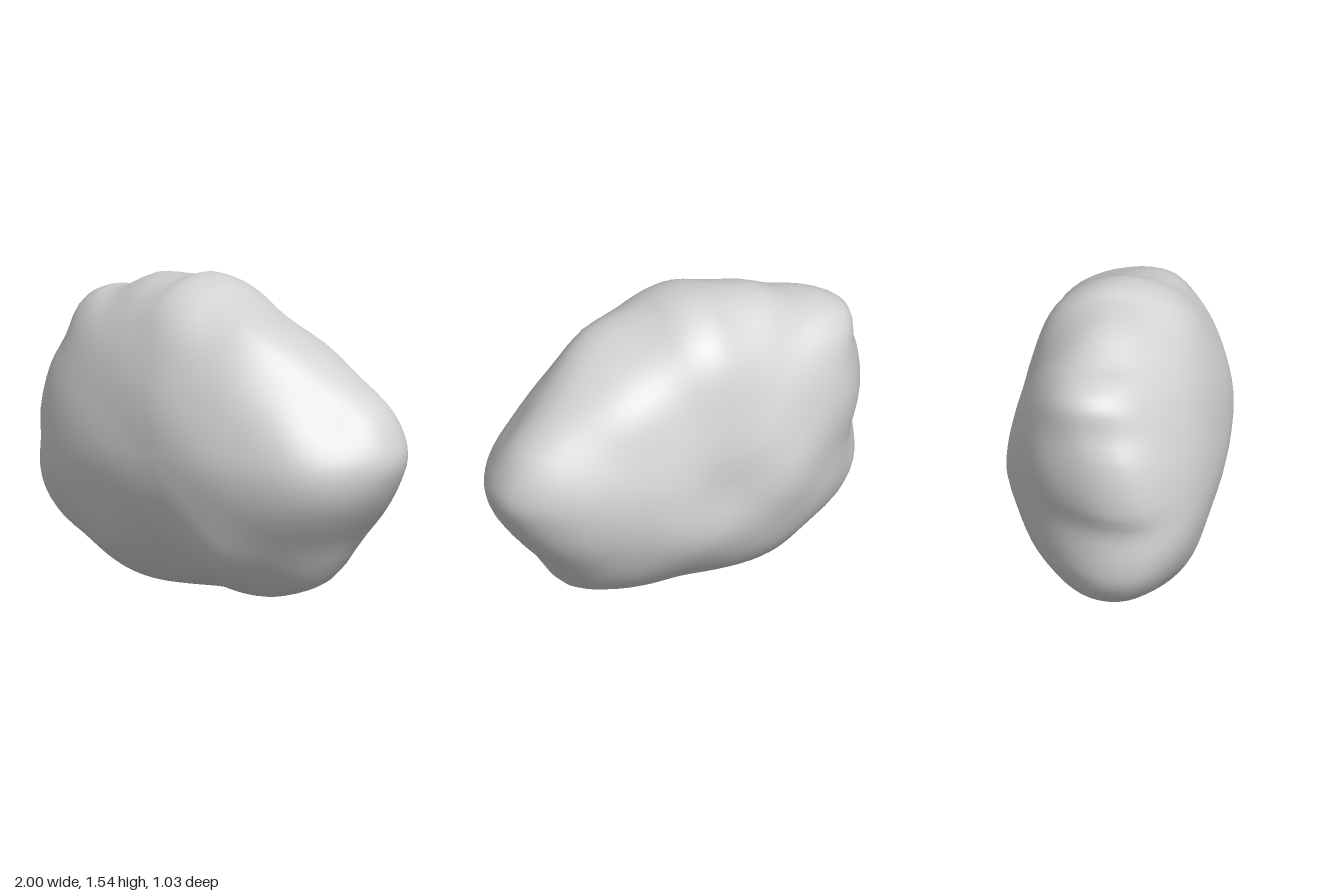
import * as THREE from 'three';
import { mergeVertices } from 'three/addons/utils/BufferGeometryUtils.js';

// Widest contour of the boulder, clockwise from the right tip as seen from the front: x, y, z
const OUTLINE = [
  [1, 0.77, -0.12], [0.96, 0.64, -0.1], [0.87, 0.5, -0.09], [0.75, 0.34, -0.07],
  [0.6, 0.13, -0.03], [0.4, 0.045, 0], [0.24, 0.03, 0], [0.13, 0.045, 0], [-0.15, 0.012, 0],
  [-0.38, 0.003, 0], [-0.5, 0.03, 0.01], [-0.67, 0.14, 0.03], [-0.89, 0.25, 0.07],
  [-0.975, 0.37, 0.1], [-0.985, 0.5, 0.12], [-0.97, 0.65, 0.12], [-1, 0.78, 0.11],
  [-0.97, 1.02, 0.05], [-0.92, 1.16, -0.01], [-0.89, 1.3, -0.05], [-0.78, 1.365, -0.04],
  [-0.65, 1.39, -0.02], [-0.45, 1.485, -0.01], [-0.22, 1.505, 0], [-0.14, 1.53, 0],
  [0, 1.51, 0.02], [0.1, 1.465, 0.06], [0.36, 1.38, 0.1], [0.65, 1.18, -0.05], [0.87, 1.02, -0.12],
  [0.95, 0.91, -0.13],
];

// Bulges (+) and hollows (-): x, y, z, radius, amount
const BUMPS = [
  [-0.08, 0.2, 0.33, 0.2, -0.02], [-0.42, 0.25, 0.32, 0.2, 0.03], [0.28, 0.25, 0.34, 0.18, 0.025],
  [0.8, 1, 0.1, 0.16, -0.03], [0.76, 0.62, 0.25, 0.25, 0.045], [-0.1, 1.38, 0.27, 0.22, 0.03],
  [-0.08, 0.68, -0.5, 0.18, -0.035], [-0.42, 0.72, -0.44, 0.22, 0.055], [0.15, 0.52, -0.49, 0.2, 0.03],
  [-0.76, 0.9, -0.28, 0.22, 0.045], [-0.78, 1.22, -0.2, 0.15, 0.01], [-0.88, 0.62, -0.12, 0.18, -0.015],
  [0.6, 0.75, -0.38, 0.25, 0.01], [-0.05, 1.36, -0.27, 0.24, 0.06], [0.38, 1.22, -0.3, 0.22, 0.05],
];

const CENTRE = new THREE.Vector3(0, 0.75, 0);
const signedPow = (v, e) => Math.sign(v) * Math.pow(Math.abs(v), e);

// Push a point in or out by the bumps and a faint ripple
function weather(p) {
  const dir = p.clone().sub(CENTRE);
  dir.z *= 2.5;
  dir.normalize();
  let push = 0.004 * Math.sin(9 * p.x + 4 * p.y) * Math.sin(8 * p.y - 7 * p.z + 1);
  for (const [x, y, z, radius, amount] of BUMPS) {
    const d2 = (p.x - x) ** 2 + (p.y - y) ** 2 + (p.z - z) ** 2;
    push += amount * Math.exp(-d2 / (radius * radius));
  }
  return p.addScaledVector(dir, push);
}

// Average each contour point with its neighbours
function softened(points, reach) {
  return points.map((_, i) => {
    const sum = new THREE.Vector3();
    for (let k = -reach; k <= reach; k++) sum.add(points[(i + k + points.length) % points.length]);
    return sum.divideScalar(2 * reach + 1);
  });
}

function boulderGeometry(sectors, rings) {
  const curve = new THREE.CatmullRomCurve3(
    OUTLINE.map(([x, y, z]) => new THREE.Vector3(x, y, z)), true, 'centripetal');
  // Run anticlockwise from the right tip
  const contour = [];
  for (let i = 0; i < sectors; i++) contour.push(curve.getPoint(1 - i / sectors));
  const soft = softened(softened(contour, 4), 4);

  const positions = [], index = [];
  for (let j = 0; j <= rings; j++) {
    const phi = (Math.PI * j) / rings;
    for (let i = 0; i < sectors; i++) {
      // Fuller towards the ends, more pointed above and below
      const rise = soft[i].clone().sub(CENTRE).setZ(0).normalize().y;
      const power = 2 / (2.2 - (rise > 0 ? 0.15 : 0.3) * rise * rise);
      const spread = j % rings === 0 ? 0 : Math.pow(Math.sin(phi), power);
      const lift = signedPow(Math.cos(phi), power);
      // Contour detail fades away from the rim
      const edge = soft[i].clone().lerp(contour[i], Math.pow(spread, 8));
      const x = edge.x * spread;
      const y = CENTRE.y + (edge.y - CENTRE.y) * spread;
      // The back face leans, the front face stands nearly upright
      const depth = lift > 0 ? 0.515 : 0.495 - 0.1 * (y - CENTRE.y);
      const z = edge.z * spread * spread + depth * lift;
      positions.push(...weather(new THREE.Vector3(x, y, z)).toArray());
    }
  }
  for (let j = 0; j < rings; j++) {
    for (let i = 0; i < sectors; i++) {
      const next = (i + 1) % sectors;
      const a = j * sectors + i, d = j * sectors + next;
      const b = a + sectors, c = d + sectors;
      if (j < rings - 1) index.push(a, b, c);
      if (j > 0) index.push(a, c, d);
    }
  }
  let geometry = new THREE.BufferGeometry();
  geometry.setAttribute('position', new THREE.Float32BufferAttribute(positions, 3));
  geometry.setIndex(index);
  geometry = mergeVertices(geometry, 1e-5);
  geometry.computeVertexNormals();
  return geometry;
}

export function createModel() {
  const stone = new THREE.MeshStandardMaterial({ color: 0xd2d2d2 });
  stone.name = 'grey stone';

  const boulder = new THREE.Mesh(boulderGeometry(93, 40), stone);
  boulder.name = 'boulder';
  // Rest the lowest point on the ground
  boulder.geometry.computeBoundingBox();
  boulder.position.y = -boulder.geometry.boundingBox.min.y;

  const group = new THREE.Group();
  group.name = 'rock';
  group.add(boulder);
  return group;
}
